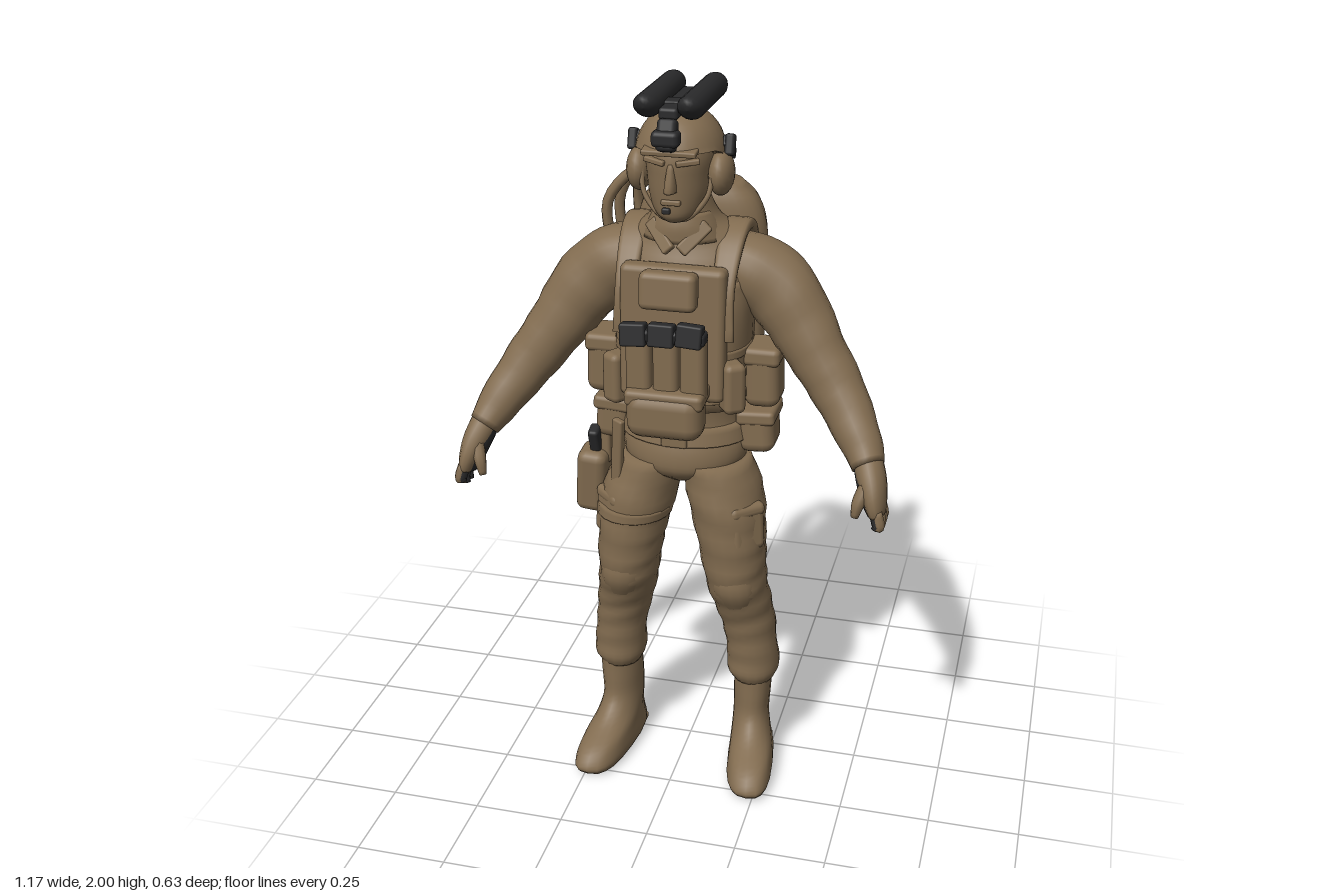
import * as THREE from 'three';
import { RoundedBoxGeometry } from 'three/addons/geometries/RoundedBoxGeometry.js';

const V = (x, y, z) => new THREE.Vector3(x, y, z);

// Smooth closed skin through sections [x, y, z, radiusU, radiusV, squareness].
// mode: 'level' = horizontal rings, 'limb' = rings across the path, 'strap' = rings kept square to x.
function loft(secs, { mode = 'level', fold = 0, n = 20, step = 4 } = {}) {
  const centre = new THREE.CatmullRomCurve3(secs.map(s => V(s[0], s[1], s[2])), false, 'catmullrom');
  const size = new THREE.CatmullRomCurve3(secs.map(s => V(s[3], s[4], s[5] || 2)), false, 'catmullrom');
  const rows = (secs.length - 1) * step, pos = [], idx = [];
  for (let i = 0; i <= rows; i++) {
    const k = i / rows, c = centre.getPoint(k), r = size.getPoint(k);
    const t = mode === 'level' ? V(0, 1, 0) : centre.getTangent(k);
    const u = mode === 'limb' ? t.clone().cross(V(0, 0, 1)).normalize() : V(1, 0, 0);
    const v = u.clone().cross(t).normalize();
    for (let j = 0; j < n; j++) {
      const a = j / n * Math.PI * 2, ca = Math.cos(a), sa = Math.sin(a);
      const f = 1 + fold * Math.sin(c.y * 75 + 2.2 * Math.sin(a + c.y * 9));
      const p = c.clone()
        .addScaledVector(u, Math.sign(ca) * Math.abs(ca) ** (2 / r.z) * r.x * f)
        .addScaledVector(v, Math.sign(sa) * Math.abs(sa) ** (2 / r.z) * r.y * f);
      pos.push(p.x, p.y, p.z);
      if (i < rows) {
        const q = i * n + j, w = i * n + (j + 1) % n;
        idx.push(q, q + n, w, w, q + n, w + n);
      }
    }
  }
  const first = pos.length / 3, a = secs[0], b = secs[secs.length - 1];
  pos.push(a[0], a[1], a[2], b[0], b[1], b[2]);
  for (let j = 0; j < n; j++) {
    const m = (j + 1) % n;
    idx.push(first, j, m, first + 1, rows * n + m, rows * n + j);
  }
  const g = new THREE.BufferGeometry();
  g.setAttribute('position', new THREE.Float32BufferAttribute(pos, 3));
  g.setIndex(idx);
  g.computeVertexNormals();
  return g;
}

// Moves every vertex by a rule
function bend(geo, rule) {
  const p = geo.attributes.position;
  for (let i = 0; i < p.count; i++) p.setXYZ(i, ...rule(p.getX(i), p.getY(i), p.getZ(i)));
  geo.computeVertexNormals();
  return geo;
}

export function createModel() {
  const model = new THREE.Group();
  const tan = new THREE.MeshStandardMaterial({ color: 0x826c50 });
  tan.name = 'tan cloth';
  const black = new THREE.MeshStandardMaterial({ color: 0x2a2a2b });
  black.name = 'black gear';

  const add = (name, geo, mat = tan) => {
    const m = new THREE.Mesh(geo, mat);
    m.name = name;
    model.add(m);
    return m;
  };
  const box = (name, [w, h, d], [x, y, z], mat = tan, [rx, ry, rz] = [0, 0, 0], r = 0.3) => {
    const m = add(name, new RoundedBoxGeometry(w, h, d, 2, Math.min(w, h, d) * r), mat);
    m.position.set(x, y, z);
    m.rotation.set(rx, ry, rz);
    return m;
  };
  const tube = (name, pts, r, mat = tan) =>
    add(name, new THREE.TubeGeometry(new THREE.CatmullRomCurve3(pts.map(p => V(...p))), 24, r, 8), mat);

  // Torso, neck and collar
  add('torso', loft([
    [0, 0.915, 0.06, 0.05, 0.07], [0, 0.955, 0.057, 0.15, 0.122], [0, 1.01, 0.052, 0.173, 0.132],
    [0, 1.10, 0.048, 0.155, 0.117], [0, 1.25, 0.058, 0.162, 0.127], [0, 1.40, 0.055, 0.185, 0.137],
    [0, 1.52, 0.04, 0.195, 0.127], [0, 1.595, 0.03, 0.165, 0.105], [0, 1.65, 0.05, 0.095, 0.085],
    [0, 1.72, 0.075, 0.065, 0.065]], { n: 28 }));
  add('collar', loft([[0, 1.60, 0.06, 0.115, 0.10], [0, 1.64, 0.065, 0.095, 0.095], [0, 1.675, 0.07, 0.076, 0.08]]));
  for (const s of [1, -1])
    box('collarFlap', [0.035, 0.10, 0.02], [s * 0.045, 1.615, 0.143], tan, [-0.4, s * 0.3, -s * 0.7]);

  // Vest with front and back plates, belt
  add('vest', loft([
    [0, 1.15, 0.06, 0.172, 0.135, 2.6], [0, 1.28, 0.062, 0.18, 0.14, 2.6],
    [0, 1.42, 0.062, 0.185, 0.145, 2.5], [0, 1.50, 0.055, 0.17, 0.14, 2.5]], { n: 28 }));
  box('chestPlate', [0.28, 0.36, 0.06], [0, 1.37, 0.18], tan, [-0.04, 0, 0]);
  box('backPlate', [0.28, 0.38, 0.05], [0, 1.38, -0.07]);
  for (const y of [1.19, 1.25, 1.31])
    add('vestWebbing', loft([[0, y - 0.012, 0.062, 0.183, 0.146, 2.6], [0, y + 0.012, 0.062, 0.183, 0.146, 2.6]], { n: 28 }));
  add('belt', loft([[0, 1.04, 0.05, 0.18, 0.135], [0, 1.09, 0.048, 0.168, 0.126]], { n: 28 }));
  box('beltBuckle', [0.07, 0.05, 0.02], [0, 1.065, 0.18]);

  // Chest pouches
  box('upperChestPouch', [0.15, 0.10, 0.06], [0, 1.50, 0.23], tan, [-0.1, 0, 0]);
  for (const i of [-1, 0, 1]) {
    box('magazinePouch', [0.068, 0.18, 0.06], [i * 0.072, 1.30, 0.25]);
    box('magazineTop', [0.068, 0.06, 0.04], [i * 0.074 - 0.008, 1.395 + i * 0.004, 0.272], black, [-0.15, 0, i * -0.06], 0.15);
  }
  box('magazineBand', [0.225, 0.035, 0.05], [-0.006, 1.39, 0.26], black);
  box('bellyPouch', [0.205, 0.13, 0.10], [0, 1.175, 0.262], tan, [0, 0, 0], 0.4);
  box('bellyPouchFlap', [0.21, 0.045, 0.105], [0, 1.225, 0.25], tan, [0.1, 0, 0]);
  box('hangingStrap', [0.035, 0.24, 0.02], [-0.165, 0.98, 0.16], tan, [0.05, -0.5, -0.08]);

  // Paired parts
  for (const s of [1, -1]) {
    // Sleeves and hands
    add('arm', loft([
      [s * 0.10, 1.54, 0.02, 0.07, 0.09], [s * 0.19, 1.50, 0.025, 0.098, 0.098], [s * 0.27, 1.435, 0.042, 0.098, 0.086],
      [s * 0.355, 1.315, 0.075, 0.081, 0.074], [s * 0.43, 1.21, 0.11, 0.071, 0.066],
      [s * 0.495, 1.115, 0.17, 0.057, 0.054], [s * 0.527, 1.06, 0.21, 0.044, 0.047]], { mode: 'limb', fold: 0.02, step: 5 }));
    const hand = (name, off, ru, rv, mat) => add(name, loft([
      [s * 0.522, 1.075, 0.20, 0.04, 0.042], [s * (0.54 - off), 1.03, 0.23, 0.038 - ru, 0.052 - rv],
      [s * (0.553 - off), 0.985, 0.25, 0.031 - ru, 0.058 - rv], [s * (0.562 - off), 0.95, 0.255, 0.022 - ru, 0.052 - rv]],
    { mode: 'limb', n: 14 }), mat);
    hand('hand', 0, 0, 0, tan);
    hand('glovePalm', 0.009, 0.005, 0.013, black);
    for (let i = 0; i < 4; i++) {
      const z = 0.215 + i * 0.025, end = 0.905 + Math.abs(i - 1.5) * 0.012;
      const finger = (name, off, r, mat) => add(name, loft([
        [s * (0.562 - off), 0.97, z, r, r], [s * (0.572 - off), 0.935, z + 0.005, r, r],
        [s * (0.566 - off), end, z + 0.008, r * 0.65, r * 0.65]], { mode: 'limb', n: 8, step: 3 }), mat);
      finger('finger', 0, 0.0155, tan);
      finger('fingerGrip', 0.006, 0.0132, black);
    }
    add('thumb', loft([[s * 0.53, 1.03, 0.26, 0.018, 0.018], [s * 0.515, 0.99, 0.285, 0.017, 0.017],
      [s * 0.507, 0.95, 0.292, 0.01, 0.01]], { mode: 'limb', n: 8 }));

    // Trousers and boots
    add('trouserLeg', loft([
      [s * 0.20, 0.275, 0.045, 0.06, 0.07], [s * 0.20, 0.31, 0.047, 0.076, 0.08], [s * 0.197, 0.37, 0.052, 0.073, 0.076],
      [s * 0.187, 0.45, 0.055, 0.076, 0.082], [s * 0.173, 0.52, 0.067, 0.082, 0.088], [s * 0.158, 0.60, 0.09, 0.085, 0.10],
      [s * 0.15, 0.68, 0.10, 0.09, 0.10], [s * 0.138, 0.78, 0.097, 0.099, 0.107], [s * 0.118, 0.88, 0.077, 0.106, 0.125],
      [s * 0.09, 0.98, 0.058, 0.09, 0.125]], { fold: 0.025 }));
    add('kneePatch', loft([[s * 0.168, 0.53, 0.12, 0.04, 0.035], [s * 0.16, 0.61, 0.135, 0.066, 0.062],
      [s * 0.152, 0.70, 0.14, 0.05, 0.045]], { n: 16 }));
    const boot = loft([
      [s * 0.20, 0.008, 0.125, 0.062, 0.165, 2.8], [s * 0.20, 0.03, 0.125, 0.067, 0.175, 2.8],
      [s * 0.20, 0.07, 0.11, 0.063, 0.155, 2.5], [s * 0.197, 0.11, 0.067, 0.057, 0.107],
      [s * 0.195, 0.16, 0.042, 0.053, 0.081], [s * 0.197, 0.23, 0.042, 0.055, 0.074], [s * 0.20, 0.30, 0.045, 0.056, 0.07]]);
    add('boot', bend(boot, (x, y, z) => [x + s * 0.14 * (z - 0.04), y, z])); // toes turned out
    box('bootHeel', [0.10, 0.02, 0.11], [s * 0.195, 0.01, 0.01]);
    box('cargoPocket', [0.05, 0.13, 0.11], [s * 0.19, 0.80, 0.147], tan, [0, -s * 0.8, s * 0.1], 0.45);
    box('cargoPocketFlap', [0.05, 0.04, 0.112], [s * 0.188, 0.855, 0.145], tan, [0, -s * 0.8, s * 0.1], 0.45);

    // Pouches on the vest sides and belt
    box('sidePouch', [0.095, 0.17, 0.12], [s * 0.217, 1.23, 0.055], tan, [0, 0, s * 0.03]);
    box('sidePouchFlap', [0.10, 0.05, 0.126], [s * 0.217, 1.29, 0.055]);
    box('frontSidePouch', [0.06, 0.14, 0.07], [s * 0.155, 1.23, 0.175], tan, [0, s * 0.6, 0]);
    box('beltPouch', [0.10, 0.12, 0.13], [s * 0.20, 1.06, 0.03], tan, [0, 0, s * 0.06]);
    box('beltPouchFlap', [0.106, 0.04, 0.136], [s * 0.20, 1.105, 0.03], tan, [0, 0, s * 0.06]);

    // Shoulder straps
    add('shoulderStrap', loft([
      [s * 0.125, 1.40, -0.085, 0.032, 0.012, 4], [s * 0.13, 1.53, -0.085, 0.036, 0.014, 4], [s * 0.13, 1.60, -0.045, 0.038, 0.016, 4],
      [s * 0.13, 1.622, 0.03, 0.038, 0.016, 4], [s * 0.13, 1.585, 0.105, 0.034, 0.014, 4], [s * 0.13, 1.49, 0.17, 0.028, 0.012, 4],
      [s * 0.14, 1.36, 0.188, 0.022, 0.01, 4]], { mode: 'strap', n: 16 }));

    // Ear cups, rails and chin straps
    const cup = add('earCup', new THREE.SphereGeometry(1, 16, 12));
    cup.scale.set(0.034, 0.058, 0.055);
    cup.position.set(s * 0.106, 1.78, 0.105);
    box('helmetRail', [0.018, 0.03, 0.10], [s * 0.116, 1.835, 0.06], black, [-0.6, 0, 0]);
    box('railClip', [0.025, 0.055, 0.03], [s * 0.126, 1.85, 0.095], black, [-0.3, 0, 0]);
    tube('chinStrap', [[s * 0.092, 1.80, 0.14], [s * 0.082, 1.73, 0.155], [s * 0.035, 1.675, 0.165], [0, 1.668, 0.17]], 0.007);

    // Goggle tubes stowed over the helmet, front ends cut back underneath
    const goggle = new THREE.CapsuleGeometry(0.033, 0.256, 4, 16).rotateX(Math.PI / 2);
    bend(goggle, (x, y, z) => [x, y, z + (z > 0.1 ? y * 0.6 : 0)]);
    add('goggleTube', goggle, black).position.set(s * 0.055, 1.967, 0.092);
    box('eyeBrow', [0.06, 0.014, 0.02], [s * 0.042, 1.825, 0.197], tan, [0, s * 0.35, s * 0.1]);
  }

  // Head and face
  add('head', loft([
    [0, 1.665, 0.14, 0.03, 0.045], [0, 1.685, 0.13, 0.058, 0.07], [0, 1.73, 0.112, 0.077, 0.093],
    [0, 1.78, 0.102, 0.085, 0.106], [0, 1.83, 0.10, 0.09, 0.108], [0, 1.89, 0.10, 0.08, 0.09]], { n: 24 }));
  add('nose', loft([[0, 1.75, 0.205, 0.016, 0.03], [0, 1.77, 0.205, 0.015, 0.026], [0, 1.82, 0.197, 0.009, 0.014]], { n: 10 }));
  box('mouth', [0.05, 0.014, 0.02], [0, 1.722, 0.2]);
  box('microphone', [0.022, 0.016, 0.016], [-0.012, 1.70, 0.203], black);

  // Helmet shell, cut to a sloping rim, with a black panel wrapped round the back
  const shell = new THREE.SphereGeometry(1, 28, 20).scale(0.115, 0.122, 0.132).translate(0, 1.825, 0.1);
  add('helmet', bend(shell, (x, y, z) =>
    [x, Math.max(y, 1.77 + 0.08 * THREE.MathUtils.smoothstep(z, 0.0, 0.17)), z]));
  box('helmetBrim', [0.14, 0.014, 0.05], [0, 1.855, 0.207], tan, [0.15, 0, 0]);
  const panel = new THREE.SphereGeometry(1, 20, 10, Math.PI * 1.16, Math.PI * 0.68, Math.PI * 0.3, Math.PI * 0.38);
  add('rearHelmetPanel', panel.scale(0.121, 0.128, 0.138).translate(0, 1.825, 0.1), black);
  box('batteryPack', [0.09, 0.09, 0.03], [0, 1.83, -0.025], black, [-0.1, 0, 0]);
  box('goggleMount', [0.05, 0.08, 0.04], [0, 1.90, 0.235], black, [-0.35, 0, 0]);
  box('mountFoot', [0.07, 0.04, 0.045], [0, 1.895, 0.245], black);
  box('goggleBridge', [0.05, 0.03, 0.25], [0, 1.95, 0.105], black);
  box('goggleHinge', [0.11, 0.03, 0.05], [0, 1.955, 0.15], black);

  // Backpack, narrower towards the back
  const pack = loft([
    [0, 1.11, -0.16, 0.13, 0.06, 3.4], [0, 1.14, -0.168, 0.168, 0.086, 3.4], [0, 1.25, -0.18, 0.182, 0.10, 3.4],
    [0, 1.42, -0.192, 0.19, 0.118, 3.2], [0, 1.56, -0.19, 0.186, 0.115, 3.2], [0, 1.64, -0.172, 0.16, 0.092, 3],
    [0, 1.69, -0.155, 0.11, 0.058, 3]], { n: 32 });
  add('backpack', bend(pack, (x, y, z) =>
    [x * (1 - 0.25 * THREE.MathUtils.smoothstep(-z, 0.12, 0.31)) - 0.005, y, z]));
  box('packTopFlap', [0.08, 0.16, 0.025], [-0.005, 1.55, -0.299], tan, [0.08, 0, 0]);
  box('packHandle', [0.06, 0.03, 0.03], [0, 1.695, -0.15]);

  // Hoses looping from the pack top down its right side
  box('hoseConnector', [0.10, 0.045, 0.045], [-0.09, 1.71, -0.165], black, [0, 0.08, 0.05]);
  box('hoseTip', [0.06, 0.028, 0.028], [-0.035, 1.712, -0.165], black);
  [[-0.27, -0.145, 1.13], [-0.25, -0.195, 1.10], [-0.215, -0.25, 1.14]].forEach(([x, z, end]) =>
    tube('hose', [[-0.12, 1.71, -0.165], [-0.19, 1.70, (z - 0.17) / 2], [x, 1.61, z],
      [x + 0.01, 1.45, z - 0.01], [x + 0.03, 1.28, z], [x + 0.045, end, z]], 0.015));

  // Holster on the right thigh
  box('holster', [0.085, 0.19, 0.10], [-0.262, 0.87, 0.07], tan, [0.1, 0, -0.08]);
  box('holsterStrap', [0.03, 0.14, 0.05], [-0.225, 0.99, 0.06]);
  box('pistolGrip', [0.03, 0.09, 0.045], [-0.25, 0.99, 0.085], black, [0.35, 0, 0]);
  add('thighBand', loft([[-0.137, 0.80, 0.095, 0.106, 0.114], [-0.132, 0.83, 0.092, 0.108, 0.117]]));
  return model;
}
